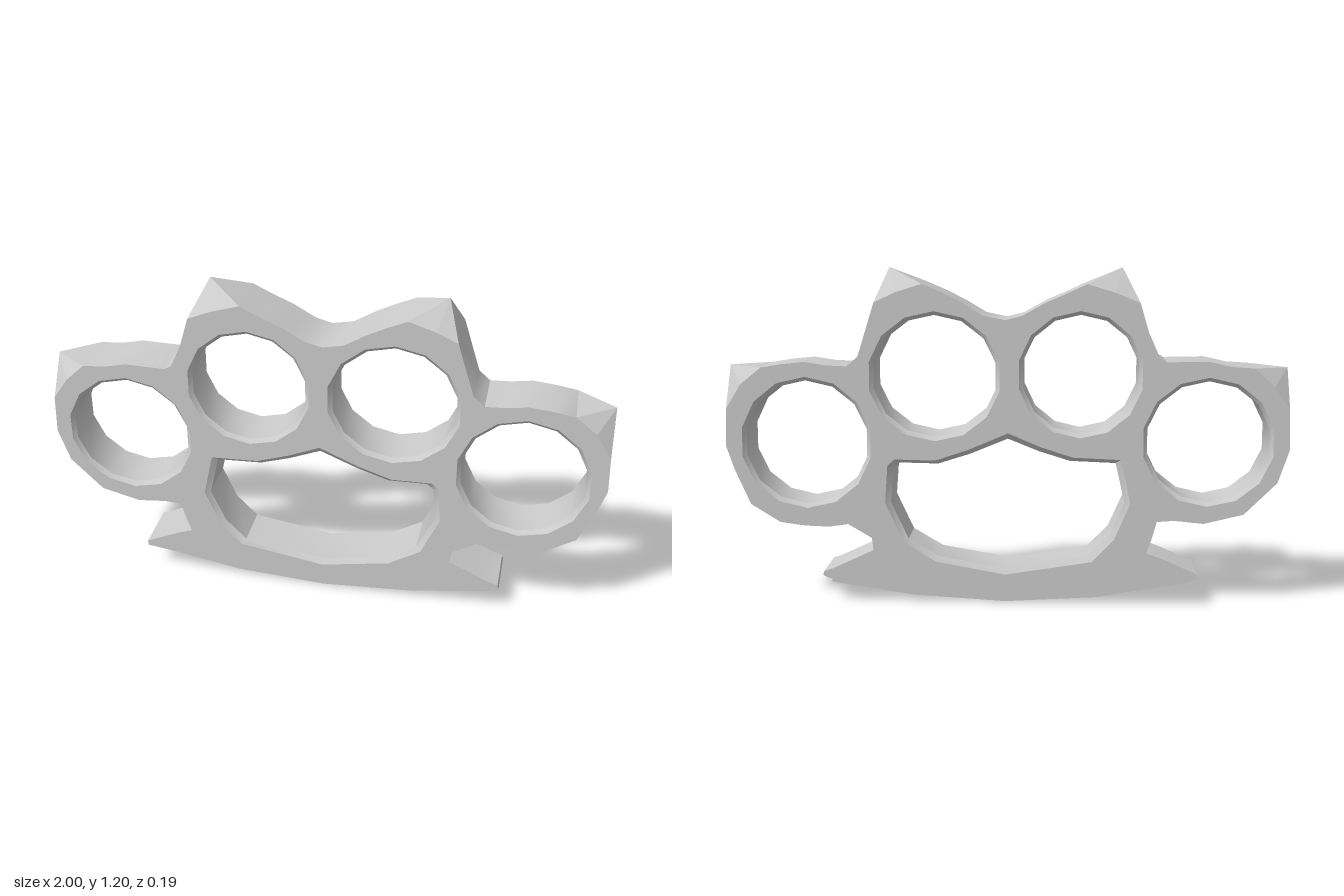
import * as THREE from 'three';
import { toCreasedNormals } from 'three/addons/utils/BufferGeometryUtils.js';

const HALF = 0.095; // half thickness
const LIP = 0.014;  // chamfer around the holes
const material = new THREE.MeshStandardMaterial({ color: 0xcccccc });

const toVectors = (list) => list.map(([x, y]) => new THREE.Vector2(x, y));

function addMesh(parent, name, geometry) {
  const mesh = new THREE.Mesh(geometry, material);
  mesh.name = name;
  parent.add(mesh);
}

function fromTriangles(positions, crease) {
  const geometry = new THREE.BufferGeometry();
  geometry.setAttribute('position', new THREE.Float32BufferAttribute(positions, 3));
  geometry.computeVertexNormals();
  return crease ? toCreasedNormals(geometry, crease) : geometry;
}

// Closed wall through rings of equal length; each ring is { points, z }
function loft(rings, inward) {
  const out = [];
  for (let k = 0; k < rings.length - 1; k++) {
    const lo = rings[k], hi = rings[k + 1], n = lo.points.length;
    for (let i = 0; i < n; i++) {
      const j = (i + 1) % n;
      const at = (ring, index) => [ring.points[index].x, ring.points[index].y, ring.z];
      const a = at(lo, i), b = at(lo, j), c = at(hi, j), d = at(hi, i);
      out.push(...(inward ? [a, c, b, a, d, c] : [a, b, c, a, c, d]).flat());
    }
  }
  return fromTriangles(out, 0.55);
}

// Faceted spike over three outline points, closing on a point at mid thickness
function spike(base, tip) {
  const ring = [
    ...[...base].reverse().map(([x, y]) => [x, y, HALF]),
    ...base.map(([x, y]) => [x, y, -HALF]),
  ];
  const apex = [...tip, 0];
  return fromTriangles(ring.flatMap((p, i) => [...ring[(i + 1) % 6], ...apex, ...p]));
}

function ovalLoop(cx, cy, rx, ry, sides = 14) {
  return Array.from({ length: sides }, (_, i) => {
    const t = ((i + 0.5) / sides) * Math.PI * 2;
    return new THREE.Vector2(cx + Math.cos(t) * rx, cy + Math.sin(t) * ry);
  });
}

export function createModel() {
  const group = new THREE.Group();

  // Spike bases, each in counterclockwise order along the outline
  const spikes = [
    { name: 'leftOuterSpike', base: [[0.995, 0.70], [0.94, 0.79], [0.865, 0.85]], tip: [0.997, 0.85] },
    { name: 'leftInnerSpike', base: [[0.46, 1.08], [0.385, 1.115], [0.29, 1.145]], tip: [0.415, 1.2] },
    { name: 'rightInnerSpike', base: [[-0.285, 1.145], [-0.385, 1.115], [-0.47, 1.08]], tip: [-0.41, 1.2] },
    { name: 'rightOuterSpike', base: [[-0.87, 0.855], [-0.94, 0.79], [-0.995, 0.71]], tip: [-0.997, 0.85] },
  ];

  const barEdge = [[-0.685, 0.095], [-0.33, 0.047], [0, 0.026], [0.33, 0.047], [0.64, 0.085]];

  // Outline, counterclockwise from the bottom bar
  const outline = toVectors([
    ...barEdge,
    [0.66, 0.095], [0.655, 0.11], [0.62, 0.122], [0.55, 0.155], [0.475, 0.19], [0.48, 0.235],
    [0.565, 0.285], [0.635, 0.275], [0.72, 0.278], [0.81, 0.29], [0.915, 0.355], [0.97, 0.48], [1, 0.57],
    ...spikes[0].base,
    [0.79, 0.862], [0.71, 0.87], [0.63, 0.858], [0.56, 0.855], [0.52, 0.89],
    ...spikes[1].base,
    [0.22, 1.115], [0.15, 1.08], [0.075, 1.035], [0, 1.02], [-0.06, 1.035], [-0.14, 1.08], [-0.21, 1.11],
    ...spikes[2].base,
    [-0.5, 0.98], [-0.54, 0.89], [-0.565, 0.875], [-0.71, 0.878], [-0.79, 0.86],
    ...spikes[3].base,
    [-1, 0.57], [-0.96, 0.45], [-0.845, 0.335], [-0.705, 0.30], [-0.6, 0.31], [-0.54, 0.305],
    [-0.525, 0.25], [-0.505, 0.19], [-0.56, 0.17], [-0.685, 0.115],
  ]);

  // Finger holes and palm opening: wide loop at the faces, narrow loop inside
  const holes = [
    ['rightOuterFingerHole', -0.715, 0.592, 0.233, 0.23],
    ['rightInnerFingerHole', -0.265, 0.828, 0.222, 0.224],
    ['leftInnerFingerHole', 0.25, 0.82, 0.236, 0.23],
    ['leftOuterFingerHole', 0.71, 0.58, 0.236, 0.237],
  ].map(([name, x, y, rx, ry]) => ({
    name, wide: ovalLoop(x, y, rx, ry), narrow: ovalLoop(x, y, rx - LIP, ry - LIP),
  }));

  const palm = toVectors([
    [0, 0.105], [0.25, 0.15], [0.365, 0.22], [0.43, 0.365], [0.42, 0.50], [0.395, 0.523],
    [0.25, 0.52], [0.13, 0.56], [-0.01, 0.62], [-0.125, 0.572], [-0.24, 0.535], [-0.41, 0.528],
    [-0.445, 0.37], [-0.39, 0.24], [-0.31, 0.155],
  ]);
  holes.push({
    name: 'palmOpening', wide: palm,
    narrow: palm.map((p) => new THREE.Vector2(p.x * 0.955, 0.36 + (p.y - 0.36) * 0.92)),
  });

  // Flat front and back plates
  const shape = new THREE.Shape(outline);
  for (const { wide } of holes) shape.holes.push(new THREE.Path(wide));
  addMesh(group, 'frontPlate', new THREE.ShapeGeometry(shape).translate(0, 0, HALF));
  const back = new THREE.ShapeGeometry(shape).translate(0, 0, HALF);
  back.scale(1, 1, -1);
  const index = back.index;
  for (let i = 0; i < index.count; i += 3) {
    const swap = index.getX(i);
    index.setX(i, index.getX(i + 1));
    index.setX(i + 1, swap);
  }
  back.computeVertexNormals();
  addMesh(group, 'backPlate', back);

  // Outer rim and chamfered hole linings
  addMesh(group, 'outerRim', loft([{ points: outline, z: -HALF }, { points: outline, z: HALF }], false));
  for (const { name, wide, narrow } of holes) {
    addMesh(group, name, loft([
      { points: wide, z: -HALF }, { points: narrow, z: -HALF + LIP },
      { points: narrow, z: HALF - LIP }, { points: wide, z: HALF },
    ], true));
  }

  // Four knuckle spikes
  for (const { name, base, tip } of spikes) addMesh(group, name, spike(base, tip));

  // Narrower strip under the curved bar
  const strip = new THREE.Shape(toVectors([
    [-0.665, 0.08], [-0.33, 0.02], [0, 0], [0.33, 0.02], [0.63, 0.065],
    ...[...barEdge].reverse().map(([x, y]) => [x * 0.985, y + 0.004]),
  ]));
  addMesh(group, 'bottomStrip',
    new THREE.ExtrudeGeometry(strip, { depth: 0.15, bevelEnabled: false }).translate(0, 0, -0.075));

  return group;
}
